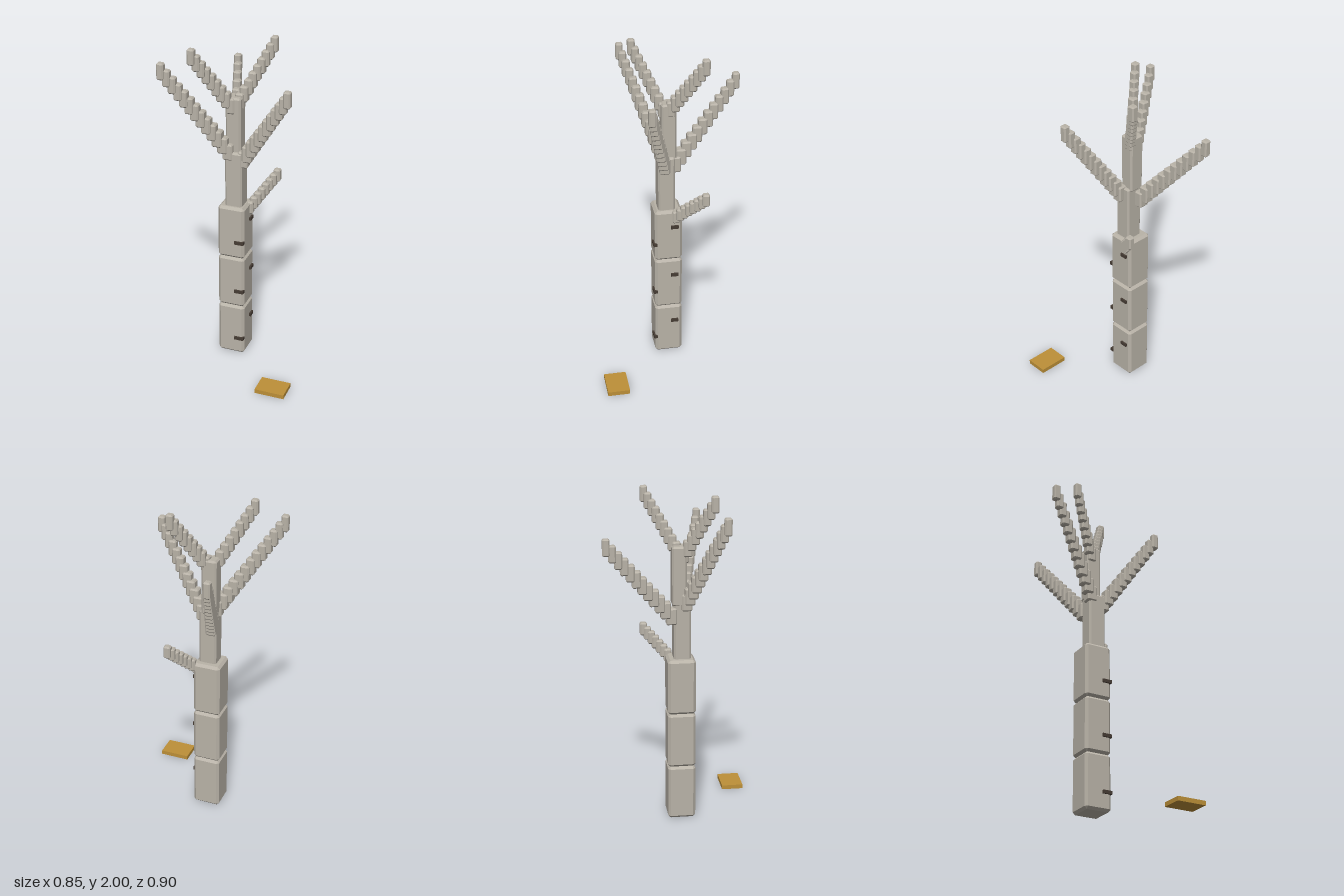
import * as THREE from 'three';
import { ConvexGeometry } from 'three/addons/geometries/ConvexGeometry.js';

const mat = (name, color) => Object.assign(new THREE.MeshStandardMaterial({ color }), { name });

// Box with every edge cut at 45 degrees
function chamferBox(w, h, d, c) {
  const points = [];
  const half = [w / 2, h / 2, d / 2];
  for (let axis = 0; axis < 3; axis++) {
    for (const sx of [-1, 1]) for (const sy of [-1, 1]) for (const sz of [-1, 1]) {
      const p = [sx, sy, sz].map((s, i) => s * (half[i] - (i === axis ? 0 : c)));
      points.push(new THREE.Vector3(...p));
    }
  }
  return new ConvexGeometry(points);
}

export function createModel() {
  const model = new THREE.Group();
  model.name = 'deadTree';
  const bark = mat('paleBark', 0xb9b3a8);
  const iron = mat('darkPeg', 0x463c34);
  const wood = mat('ochreWood', 0xbd9038);

  const add = (parent, name, geometry, material, x, y, z) => {
    const mesh = new THREE.Mesh(geometry, material);
    mesh.name = name;
    mesh.position.set(x, y, z);
    parent.add(mesh);
    return mesh;
  };

  // Thick lower trunk of three stacked blocks, each with a pair of climbing pegs
  const pitch = 0.336;
  for (let i = 0; i < 3; i++) {
    add(model, 'trunkBlock', chamferBox(0.165, pitch, 0.165, 0.015), bark, -0.042, pitch * (i + 0.5), 0.008);
    add(model, 'frontPeg', new THREE.BoxGeometry(0.058, 0.02, 0.025), iron, 0.011, 0.11 + pitch * i, 0.088);
    add(model, 'sidePeg', new THREE.BoxGeometry(0.025, 0.02, 0.045), iron, 0.039, 0.23 + pitch * i, -0.027);
  }

  // Slimmer upper trunk
  add(model, 'middleTrunk', chamferBox(0.105, 0.36, 0.1, 0.01), bark, -0.035, 1.17, 0.015);
  add(model, 'upperTrunk', chamferBox(0.092, 0.35, 0.086, 0.01), bark, -0.045, 1.505, -0.002);

  // Stepped branches: base centre, tip centre, number of steps, base width, step height
  const branches = [
    ['leftFrontBranch', [0.02, 1.31, 0.03], [0.318, 1.765, 0.15], 12, 0.06, 0.1],
    ['rightFrontBranch', [-0.07, 1.35, 0.04], [-0.403, 1.86, 0.22], 13, 0.062, 0.1],
    ['rightRearBranch', [-0.07, 1.27, -0.05], [-0.19, 1.715, -0.43], 12, 0.062, 0.1],
    ['topRightBranch', [-0.06, 1.63, 0.025], [-0.237, 1.95, 0.175], 9, 0.052, 0.095],
    ['topLeftBranch', [-0.02, 1.65, -0.015], [0.125, 1.95, -0.185], 9, 0.05, 0.095],
    ['lowBranch', [0.035, 0.97, -0.035], [0.15, 1.13, -0.19], 8, 0.045, 0.078],
  ];
  for (const [name, base, tip, count, width, height] of branches) {
    const group = new THREE.Group();
    group.name = name;
    model.add(group);
    const a = new THREE.Vector3(...base);
    const b = new THREE.Vector3(...tip);
    for (let i = 0; i < count; i++) {
      const t = i / (count - 1);
      const p = a.clone().lerp(b, t);
      const w = THREE.MathUtils.lerp(width, 0.042, t);
      add(group, 'branchStep', chamferBox(w, height, w, 0.008), bark, p.x, p.y, p.z);
    }
  }

  // Loose plank on the ground
  add(model, 'plank', new THREE.BoxGeometry(0.18, 0.026, 0.132), wood, 0.334, 0.013, 0.382);

  return model;
}
